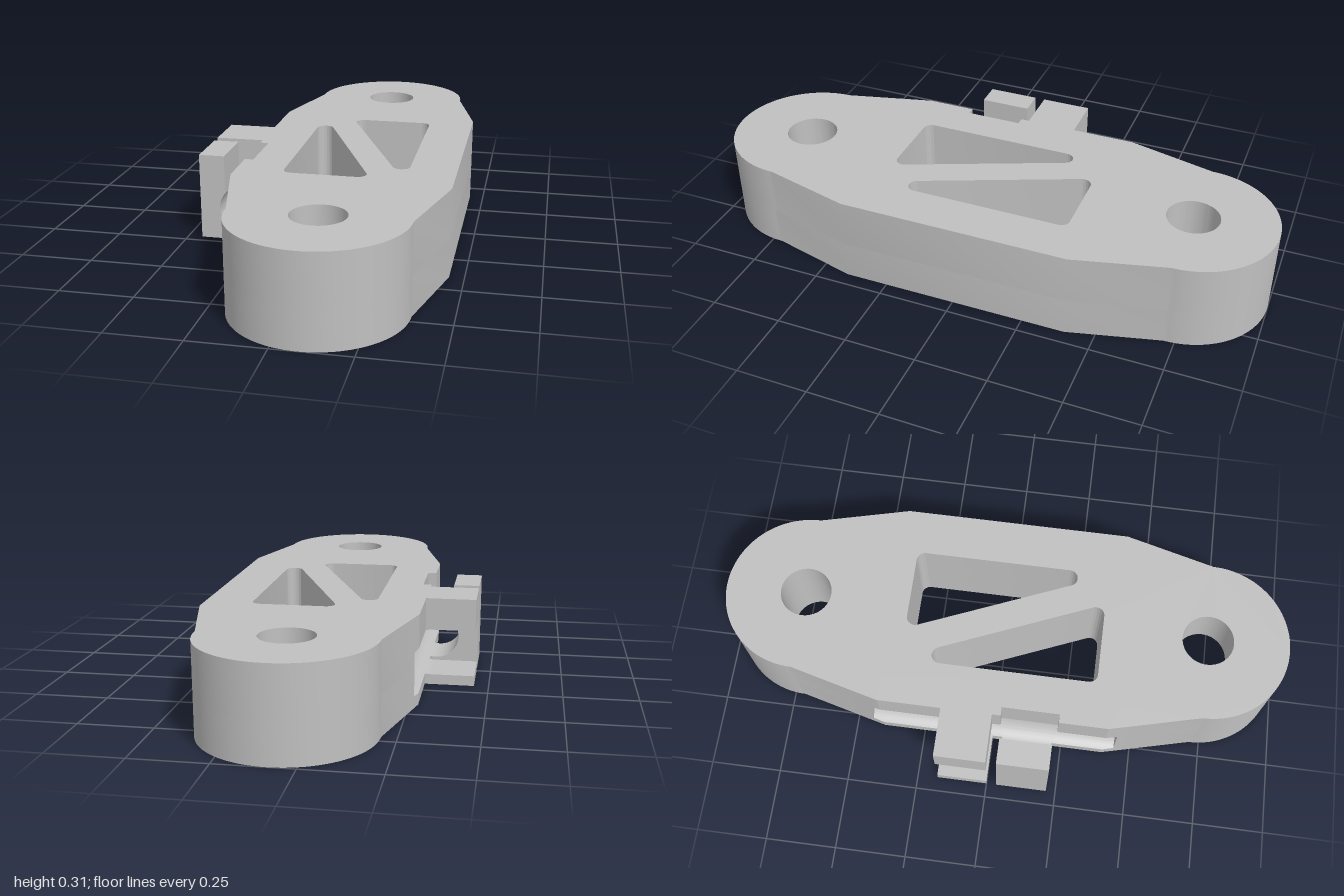
import * as THREE from 'three';
import { toCreasedNormals } from 'three/addons/utils/BufferGeometryUtils.js';

const H = 0.305;                       // plate height
const CX = 0.085;                      // plate centre line
const END_Z = 0.715, END_R = 0.285;    // rounded ends
const HOLE_R = 0.09, HEX_R = 0.17, HEX_DEPTH = 0.135;
const BX = -0.3, BY = 0.115, BR = 0.08; // side channel axis and radius
const INNER = -0.2, CH_Z = 0.44, CH_X = -0.27;

const angleAt = (x) => Math.acos((x - BX) / BR);
const points = (list) => list.map(([x, y]) => new THREE.Vector2(x, y));

// Triangle (counter-clockwise) with filleted corners
function roundedTriangle(pts, r) {
  const path = new THREE.Path();
  const v = points(pts);
  v.forEach((p, i) => {
    const din = p.clone().sub(v[(i + 2) % 3]).normalize();
    const dout = v[(i + 1) % 3].clone().sub(p).normalize();
    const bis = dout.clone().sub(din).normalize();
    const half = Math.acos(bis.dot(dout));
    const c = p.clone().addScaledVector(bis, r / Math.sin(half));
    path.absarc(c.x, c.y, r, Math.atan2(-din.x, din.y), Math.atan2(-dout.x, dout.y), false);
  });
  path.closePath();
  return path;
}

function roundHole(y) {
  return new THREE.Path().absarc(CX, y, HOLE_R, 0, Math.PI * 2, false);
}

function hexHole(y) {
  const pts = [];
  for (let i = 0; i < 6; i++) {
    const a = i * Math.PI / 3;
    pts.push([CX + HEX_R * Math.cos(a), y + HEX_R * Math.sin(a)]);
  }
  return new THREE.Path(points(pts));
}

// Plan of the plate, drawn with shape y = -z, notched where the channel rail sits
function plateShape(frontHole) {
  const s = new THREE.Shape();
  s.moveTo(0.37, -END_Z);
  s.lineTo(0.45, -0.4);
  s.lineTo(0.45, 0.4);
  s.lineTo(0.37, END_Z);
  s.absarc(CX, END_Z, END_R, 0, Math.PI, false);
  s.lineTo(CH_X, CH_Z);
  s.lineTo(INNER, CH_Z);
  s.lineTo(INNER, -CH_Z);
  s.lineTo(CH_X, -CH_Z);
  s.lineTo(-0.2, -END_Z);
  s.absarc(CX, -END_Z, END_R, Math.PI, Math.PI * 2, false);
  const tri = [[-0.12, -0.345], [0.175, -0.345], [-0.12, 0.355]];
  s.holes.push(
    roundHole(END_Z),
    frontHole,
    roundedTriangle(tri, 0.03),
    roundedTriangle(tri.map(([x, y]) => [2 * CX - x, -y]), 0.03)
  );
  return s;
}

// C-shaped section of the plate side around the channel
function railShape(topEdge) {
  const low = -0.28;
  const s = new THREE.Shape();
  s.moveTo(low, 0);
  s.lineTo(INNER, 0);
  s.lineTo(INNER, H);
  s.lineTo(topEdge, H);
  s.absarc(BX, BY, BR, angleAt(topEdge), -angleAt(low), true);
  s.closePath();
  return s;
}

export function createModel() {
  const group = new THREE.Group();
  const grey = new THREE.MeshStandardMaterial({ color: 0xc0c0c0 });
  grey.name = 'grey';

  const extrude = (shape, depth) =>
    new THREE.ExtrudeGeometry(shape, { depth, bevelEnabled: false, curveSegments: 32 });
  const add = (name, geo) => {
    const mesh = new THREE.Mesh(toCreasedNormals(geo, 0.5), grey);
    mesh.name = name;
    group.add(mesh);
  };

  // Plate: lower layer has the nut pocket, upper layer the round hole
  const layer = (name, hole, y0, y1) =>
    add(name, extrude(plateShape(hole), y1 - y0).rotateX(-Math.PI / 2).translate(0, y0, 0));
  layer('lowerPlate', hexHole(-END_Z), 0, HEX_DEPTH);
  layer('upperPlate', roundHole(-END_Z), HEX_DEPTH, H);

  // Channel rail, cut back at the top beside the hook
  const rails = [[-0.44, -0.4, -0.28], [-0.4, 0.03, -0.28], [0.03, 0.23, -0.25],
    [0.23, 0.4, -0.28], [0.4, 0.44, -0.28]];
  for (const [z0, z1, top] of rails) {
    const geo = extrude(railShape(top), z1 - z0).translate(0, 0, z0);
    const p = geo.attributes.position;
    // Follow the sloping plate side at both ends
    for (let i = 0; i < p.count; i++) {
      if (Math.abs(p.getZ(i)) < 0.42 || p.getX(i) >= CH_X) continue;
      const y = p.getY(i);
      p.setX(i, CH_X);
      if (y > 0.01 && y < H - 0.01) {
        p.setY(i, BY + Math.sign(y - BY) * Math.sqrt(BR ** 2 - (CH_X - BX) ** 2));
      }
    }
    add('channelRail', geo);
  }

  // Clip jaws, open to the side
  const edgeA = angleAt(-0.28);
  for (const side of [1, -1]) {
    const outer = side > 0 ? H : 0;
    const s = new THREE.Shape();
    s.moveTo(-0.28, outer);
    s.lineTo(-0.45, outer);
    s.lineTo(-0.45, BY + side * BR);
    s.absarc(BX, BY, BR, side * Math.PI / 2, side * edgeA, side > 0);
    s.closePath();
    add(side > 0 ? 'upperJaw' : 'lowerJaw', extrude(s, 0.178).translate(0, 0, -0.178));
  }

  // Clip hook, open to the top
  const hook = new THREE.Shape();
  hook.moveTo(-0.45, 0);
  hook.lineTo(-0.28, 0);
  hook.absarc(BX, BY, BR, -edgeA, angleAt(-0.36) - Math.PI * 2, true);
  hook.lineTo(-0.36, H);
  hook.lineTo(-0.45, H);
  hook.closePath();
  add('hook', extrude(hook, 0.18).translate(0, 0, 0.036));

  return group;
}
